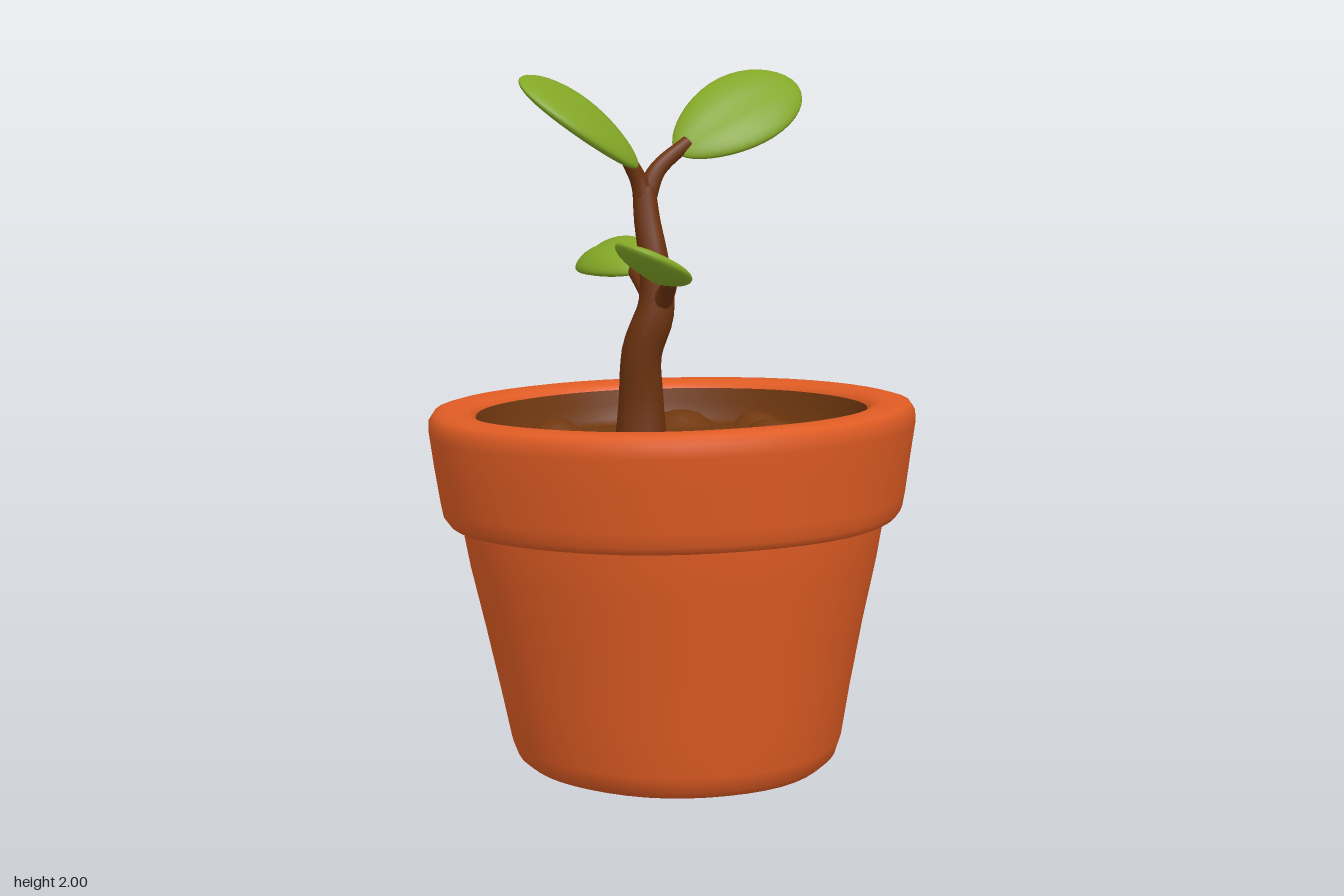
import * as THREE from 'three';
import { mergeVertices } from 'three/addons/utils/BufferGeometryUtils.js';

const V = (x, y, z) => new THREE.Vector3(x, y, z);
const paint = (name, color) => {
  const m = new THREE.MeshStandardMaterial({ color });
  m.name = name;
  return m;
};

// Move every vertex by a rule, then weld seams and smooth the normals
function reshape(geometry, rule) {
  const p = geometry.attributes.position, v = V(0, 0, 0);
  for (let i = 0; i < p.count; i++) {
    rule(v.fromBufferAttribute(p, i), i);
    p.setXYZ(i, v.x, v.y, v.z);
  }
  geometry.deleteAttribute('uv');
  geometry.deleteAttribute('normal');
  const welded = mergeVertices(geometry, 1e-4);
  welded.computeVertexNormals();
  return welded;
}

// Hand-made lean shared by the pot and the soil
function lean(v) {
  const a = Math.atan2(v.z, v.x), x = v.x;
  const wobble = 1 + 0.006 * Math.sin(3 * a + 4 * v.y) + 0.004 * Math.sin(7 * a + 1);
  v.x = x * wobble + 0.03 * Math.max(0, 1 - v.y / 0.9);
  v.z *= wobble;
  v.y += (0.032 * x + 0.004 * v.z) * v.y;
}

const lathe = (points, segments) =>
  new THREE.LatheGeometry(points.map(([x, y]) => new THREE.Vector2(x, y)), segments);

// Tapering round stem through a few points, with a radius per point
function stem(points, radii) {
  const curve = new THREE.CatmullRomCurve3(points), steps = 24, sides = 12;
  const geometry = new THREE.TubeGeometry(curve, steps, 1, sides);
  return reshape(geometry, (v, i) => {
    const t = Math.floor(i / (sides + 1)) / steps;
    const k = t * (radii.length - 1), n = Math.min(Math.floor(k), radii.length - 2);
    const r = THREE.MathUtils.lerp(radii[n], radii[n + 1], k - n);
    const c = curve.getPointAt(t);
    v.sub(c).multiplyScalar(r).add(c);
  });
}

// Plump oval leaf from base to tip; side is the direction across the blade
function leaf({ base, tip, side, width, arch, cup }) {
  const length = base.distanceTo(tip);
  const along = tip.clone().sub(base).normalize();
  const across = side.clone().addScaledVector(along, -side.dot(along)).normalize();
  const up = across.clone().cross(along);
  const frame = new THREE.Matrix4().makeBasis(across, along, up)
    .setPosition(base.clone().add(tip).multiplyScalar(0.5));
  return reshape(new THREE.SphereGeometry(1, 28, 20), (v) => {
    const { x, y, z } = v;
    const fullness = 1 + 0.12 * y + 0.12 * (1 - y * y);
    v.x = x * width / 2 * fullness;
    v.y = y * length / 2;
    v.z = z * 0.032 + arch * (1 - y * y) + cup * x * x - 0.006 * Math.exp(-x * x * 30) * (1 - y * y);
    v.applyMatrix4(frame);
  });
}

export function createModel() {
  const group = new THREE.Group();
  const terracotta = paint('terracotta', 0xe05c24);
  const earth = paint('earth', 0x70380f);
  const bark = paint('bark', 0x6c320f);
  const green = paint('leaf green', 0x82a626);
  const add = (name, geometry, material) => {
    const mesh = new THREE.Mesh(geometry, material);
    mesh.name = name;
    group.add(mesh);
  };

  // Tapered pot body with a rounded foot
  add('potBody', reshape(lathe([
    [0, 0.015], [0.25, 0.01], [0.4, 0.005], [0.44, 0.012], [0.468, 0.035], [0.484, 0.08],
    [0.51, 0.22], [0.55, 0.42], [0.59, 0.6], [0.612, 0.72], [0.615, 0.78],
  ], 48), lean), terracotta);

  // Thick rounded rim
  add('potRim', reshape(lathe([
    [0.6, 0.735], [0.625, 0.725], [0.65, 0.73], [0.665, 0.75], [0.673, 0.79], [0.69, 0.9],
    [0.703, 0.99], [0.702, 1.025], [0.688, 1.046], [0.66, 1.054], [0.61, 1.052],
    [0.585, 1.044], [0.57, 1.03], [0.564, 1.01],
  ], 48), lean), terracotta);

  // Lumpy soil, with a stained wall rising to the rim
  const lumps = [
    [0.21, -0.05, 0.1], [0.17, -0.25, 0.08], [-0.4, 0.07, 0.08], [-0.22, -0.3, 0.09],
    [0.3, 0.2, 0.1], [0.05, 0.36, 0.09], [-0.2, 0.28, 0.1], [0.0, -0.4, 0.07], [0.38, -0.1, 0.07],
  ];
  const soilProfile = [[0.566, 1.03], [0.556, 0.985], [0.545, 0.94], [0.53, 0.925]];
  for (let i = 24; i >= 0; i--) soilProfile.push([i * 0.0213, 0.945 - 0.02 * (i / 24) ** 6]);
  add('soil', reshape(lathe(soilProfile, 64), (v) => {
    if (Math.hypot(v.x, v.z) < 0.535) {
      for (const [x, z, r] of lumps) {
        const d = Math.hypot(v.x - x, v.z - z) / r;
        if (d < 1) v.y += 0.045 * Math.sqrt(1 - d * d);
      }
    }
    lean(v);
  }), earth);

  // Crooked trunk and its four twigs
  add('trunk', stem([
    V(-0.08, 0.91, 0.035), V(-0.08, 1.06, 0.035), V(-0.068, 1.2, 0.045), V(-0.035, 1.33, 0.02),
    V(-0.045, 1.46, 0.018), V(-0.075, 1.58, 0.014), V(-0.092, 1.67, 0.008),
  ], [0.08, 0.068, 0.06, 0.058, 0.046, 0.04, 0.034]), bark);
  const twigs = {
    upperBackTwig: [V(-0.09, 1.63, 0.01), V(-0.075, 1.72, -0.03), V(-0.035, 1.8, -0.12)],
    upperFrontTwig: [V(-0.085, 1.63, 0.01), V(-0.095, 1.69, 0.025), V(-0.11, 1.77, 0.07)],
    lowerRightTwig: [V(-0.035, 1.34, 0.02), V(-0.1, 1.39, 0.0), V(-0.19, 1.435, -0.045)],
    lowerLeftTwig: [V(-0.03, 1.33, 0.02), V(0.03, 1.385, 0.045), V(0.085, 1.435, 0.095)],
  };
  for (const [name, path] of Object.entries(twigs)) add(name, stem(path, [0.034, 0.025, 0.02]), bark);

  // Leaves
  const leaves = {
    upperBackLeaf: { base: V(-0.055, 1.77, -0.09), tip: V(0.075, 1.965, -0.475),
      side: V(0.78, -0.6, -0.07), width: 0.235, arch: 0.02, cup: 0.0 },
    upperFrontLeaf: { base: V(-0.09, 1.735, 0.035), tip: V(-0.26, 1.98, 0.345),
      side: V(-0.64, 0.38, -0.64), width: 0.23, arch: 0.02, cup: 0.0 },
    lowerRightLeaf: { base: V(-0.15, 1.425, -0.03), tip: V(-0.455, 1.44, -0.16),
      side: V(0.35, 0.45, -0.85), width: 0.185, arch: 0.035, cup: -0.01 },
    lowerLeftLeaf: { base: V(0.1, 1.42, 0.07), tip: V(0.15, 1.535, 0.335),
      side: V(-1, 0.2, 0.1), width: 0.19, arch: -0.01, cup: 0.012 },
  };
  for (const [name, spec] of Object.entries(leaves)) add(name, leaf(spec), green);

  return group;
}
